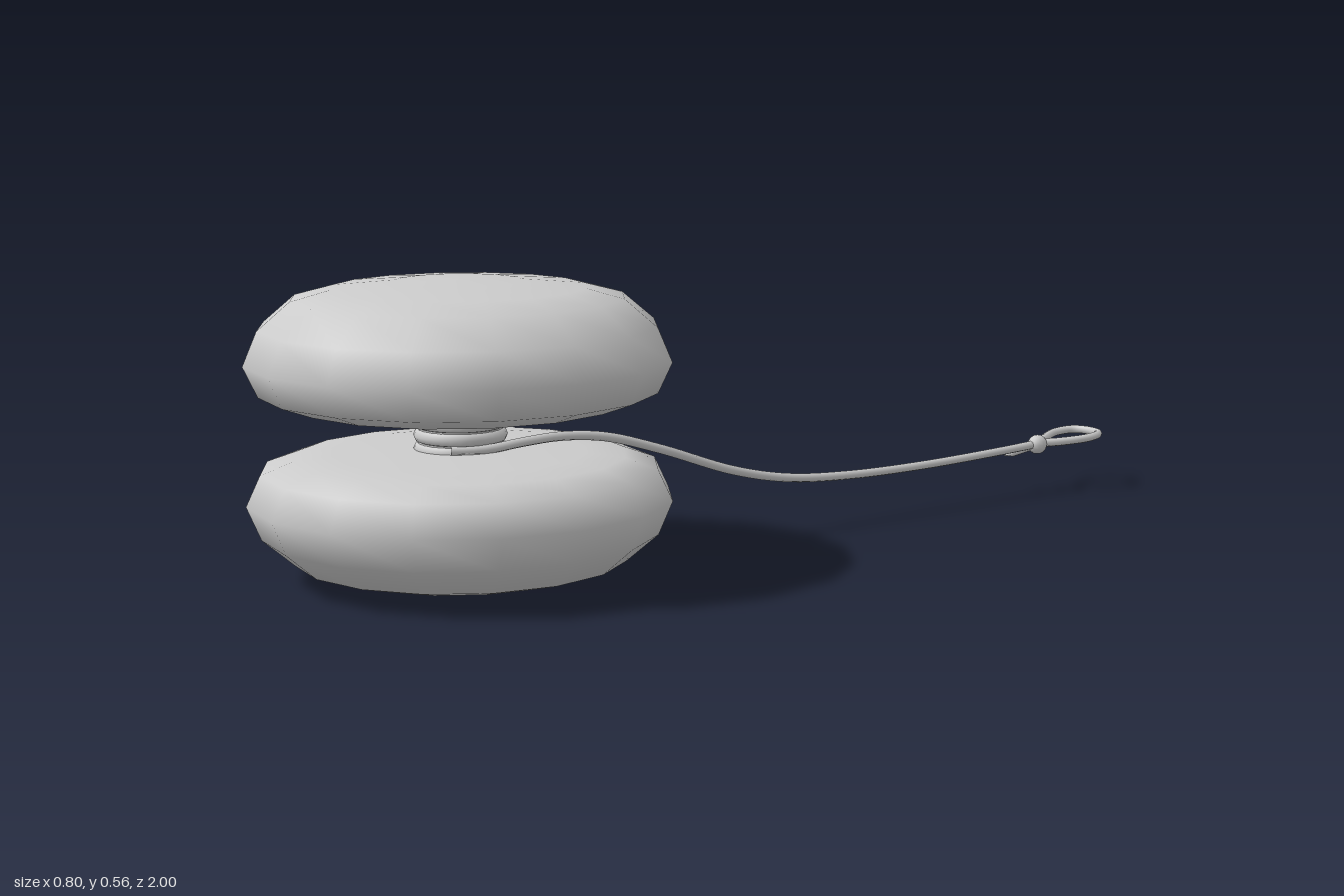
import * as THREE from 'three';

const material = new THREE.MeshStandardMaterial({ color: 0xcccccc });
const DISC_Z = 0.6;
const STRING_R = 0.009;

function add(parent, name, geometry, x = 0, y = 0, z = 0) {
  const mesh = new THREE.Mesh(geometry, material);
  mesh.name = name;
  mesh.position.set(x, y, z);
  parent.add(mesh);
  return mesh;
}

// Smooth cord through a few points
function cord(points, segments, closed = false, radius = STRING_R) {
  const curve = new THREE.CatmullRomCurve3(points.map(p => new THREE.Vector3(...p)), closed);
  return new THREE.TubeGeometry(curve, segments, radius, 8, closed);
}

// Rounded half, 16 sides, profile runs from underside centre to top centre
function discGeometry(profile) {
  return new THREE.LatheGeometry(profile.map(([r, y]) => new THREE.Vector2(r, y)), 16);
}

export function createModel() {
  const model = new THREE.Group();
  model.name = 'yoyo';

  // Two halves, mirrored about the gap at y = 0.28
  const lower = [[0, 0.001], [0.12, 0.004], [0.24, 0.015], [0.312, 0.034], [0.373, 0.086], [0.4, 0.15],
    [0.373, 0.208], [0.312, 0.23], [0.24, 0.237], [0.12, 0.243], [0, 0.245]];
  const upper = lower.map(([r, y]) => [r, 0.56 - y]).reverse();
  add(model, 'lowerDisc', discGeometry(lower), 0, 0, DISC_Z);
  add(model, 'upperDisc', discGeometry(upper), 0, 0, DISC_Z);

  // Axle with wound string
  add(model, 'axle', new THREE.CylinderGeometry(0.08, 0.08, 0.1, 24), 0, 0.28, DISC_Z);
  for (let i = 0; i < 4; i++) {
    const coil = add(model, 'stringCoil', new THREE.TorusGeometry(0.074, 0.014, 8, 32), 0, 0.243 + i * 0.026, DISC_Z);
    coil.rotation.x = Math.PI / 2;
  }

  // Loose string leaving the axle and settling behind
  add(model, 'string', cord([
    [0.06, 0.25, 0.66], [0.083, 0.25, 0.6], [0.087, 0.256, 0.52], [0.088, 0.258, 0.43],
    [0.088, 0.246, 0.33], [0.089, 0.208, 0.2], [0.09, 0.145, 0.02], [0.091, 0.114, -0.12],
    [0.092, 0.101, -0.28], [0.093, 0.098, -0.48], [0.094, 0.102, -0.68], [0.094, 0.107, -0.82],
  ], 72), 0, 0, 0);

  // Knot, finger loop and loose tail
  const knot = add(model, 'knot', new THREE.SphereGeometry(0.021, 12, 8), 0.094, 0.106, -0.82);
  knot.scale.set(0.95, 1, 1.1);
  add(model, 'fingerLoop', cord([
    [0.094, 0.108, -0.825], [0.062, 0.11, -0.875], [0.039, 0.114, -0.93], [0.05, 0.117, -0.976],
    [0.088, 0.117, -0.991], [0.125, 0.117, -0.976], [0.136, 0.114, -0.935], [0.118, 0.11, -0.875],
    [0.094, 0.108, -0.825],
  ], 56), 0, 0, 0);
  add(model, 'stringTail', cord([[0.092, 0.104, -0.82], [0.078, 0.095, -0.79], [0.068, 0.088, -0.768]], 10, false, 0.008));
  const tip = add(model, 'tailTip', new THREE.ConeGeometry(0.008, 0.02, 8), 0.065, 0.086, -0.76);
  tip.quaternion.setFromUnitVectors(new THREE.Vector3(0, 1, 0), new THREE.Vector3(-0.4, -0.28, 0.87).normalize());

  return model;
}
